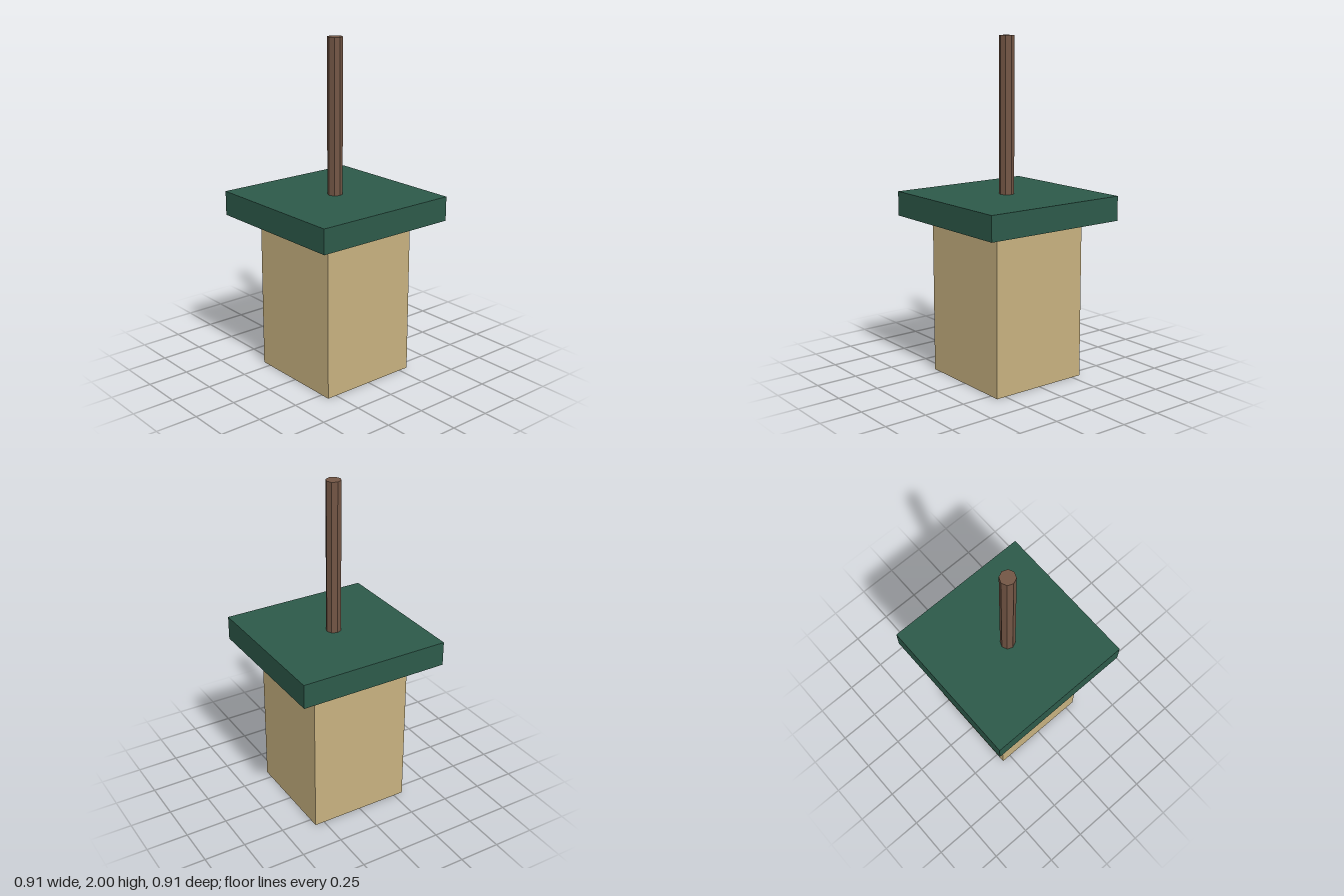
import * as THREE from 'three';

export function createModel() {
  const model = new THREE.Group();
  const material = (name, color, flatShading = false) => {
    const m = new THREE.MeshStandardMaterial({ color, flatShading });
    m.name = name;
    return m;
  };
  const sand = material('sand', 0xc8b280);
  const green = material('dark green', 0x2d5a4a);
  const brown = material('brown', 0x735645, true);

  // Adds a part whose underside rests at the given height
  const add = (name, geometry, mat, bottom, height) => {
    const mesh = new THREE.Mesh(geometry, mat);
    mesh.name = name;
    mesh.position.y = bottom + height / 2;
    model.add(mesh);
  };

  // Square body
  add('body', new THREE.BoxGeometry(0.618, 0.909, 0.618), sand, 0, 0.909);
  // Overhanging slab, floating just above the body
  add('roofSlab', new THREE.BoxGeometry(0.909, 0.145, 0.909), green, 0.946, 0.145);
  // Eight-sided pole on the slab
  add('pole', new THREE.CylinderGeometry(0.0445, 0.0445, 0.909, 8), brown, 1.091, 0.909);

  return model;
}
